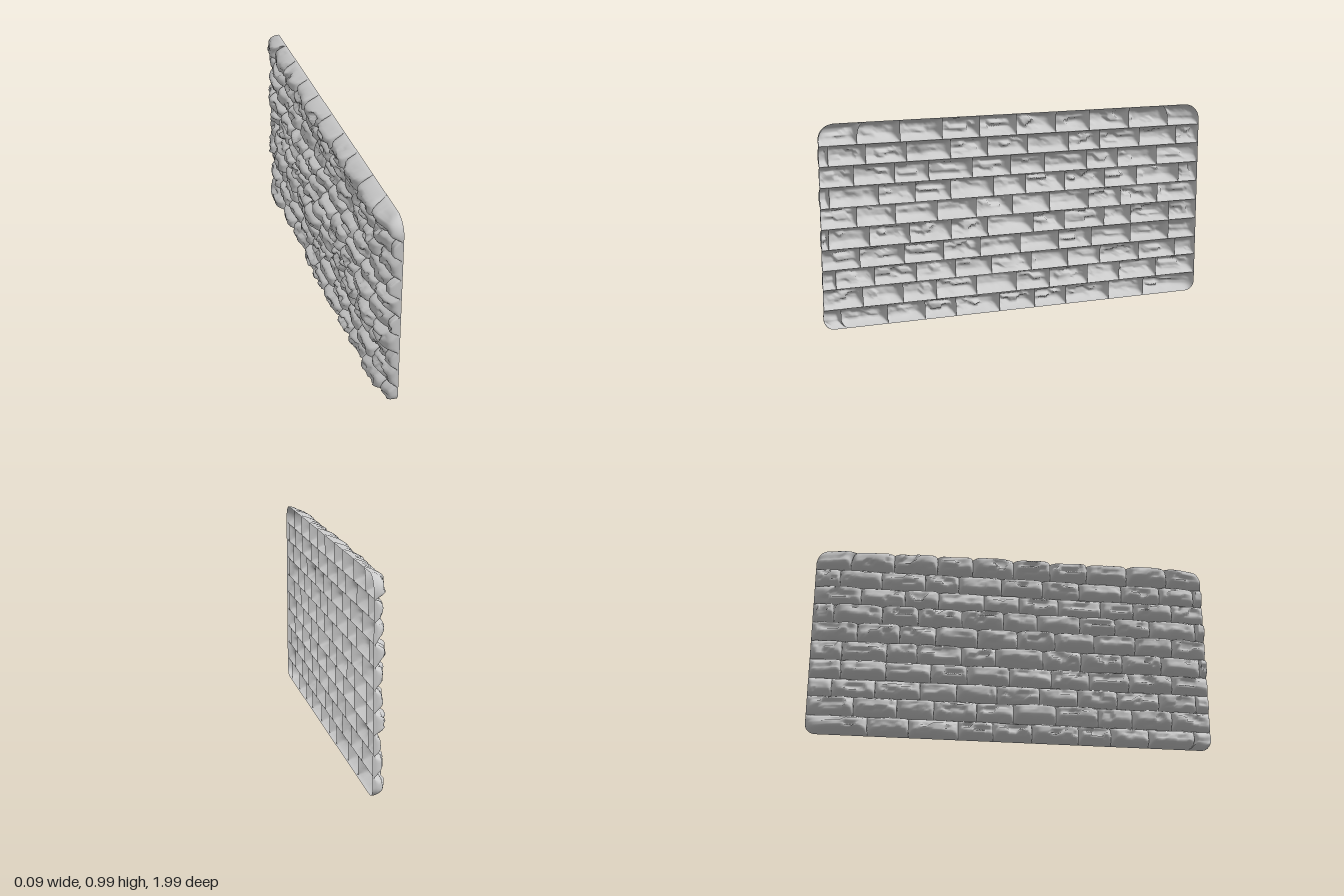
import * as THREE from 'three';

const RIM = 0.047, JOINT = 0.04, TOP = 0.992, END = 0.995;
const TOP_CORNER = 0.08, BOTTOM_CORNER = 0.05;

// Courses from bottom to top: lower edge, depth of the bulge, height of its crest
// (-1 low .. 1 high), inner brick joints along z
const COURSES = [
  [0, 0.077, -0.1, [0.91, 0.68, 0.49, 0.33, 0.10, -0.09, -0.26, -0.50, -0.70]],
  [0.095, 0.069, 0.1, [0.80, 0.60, 0.43, 0.22, 0.01, -0.17, -0.38, -0.56, -0.77]],
  [0.195, 0.063, 0.0, [0.93, 0.74, 0.53, 0.33, 0.14, -0.07, -0.27, -0.45, -0.67, -0.88]],
  [0.29, 0.083, -0.1, [0.81, 0.59, 0.39, 0.20, -0.01, -0.22, -0.40, -0.62, -0.84]],
  [0.39, 0.083, 0.0, [0.96, 0.76, 0.56, 0.35, 0.16, -0.08, -0.25, -0.47, -0.62, -0.84]],
  [0.49, 0.083, 0.1, [0.82, 0.63, 0.42, 0.22, 0.03, -0.17, -0.38, -0.56, -0.77]],
  [0.59, 0.080, 0.1, [0.95, 0.71, 0.53, 0.35, 0.13, -0.04, -0.25, -0.47, -0.65, -0.89]],
  [0.69, 0.070, 0.0, [0.83, 0.63, 0.46, 0.24, 0.04, -0.14, -0.37, -0.54, -0.76]],
  [0.79, 0.068, 0.0, [0.95, 0.77, 0.57, 0.35, 0.16, -0.05, -0.27, -0.44, -0.66, -0.87]],
  [0.887, 0.084, 0.0, [0.81, 0.60, 0.39, 0.20, 0.01, -0.20, -0.38, -0.60, -0.82]],
];

const fract = (t) => t - Math.floor(t);
const hash = (a, b) => fract(Math.sin(a * 127.1 + b * 311.7) * 43758.5453);
const mix = THREE.MathUtils.lerp;
const smooth = THREE.MathUtils.smoothstep;

// Smooth value noise in the range 0..1
function noise(x, y) {
  const i = Math.floor(x), j = Math.floor(y);
  const f = smooth(x - i, 0, 1), g = smooth(y - j, 0, 1);
  return mix(mix(hash(i, j), hash(i + 1, j), f), mix(hash(i, j + 1), hash(i + 1, j + 1), f), g);
}

// Pull the ends in so the outline has rounded corners
function roundCorner(z, y) {
  const r = y > 0.5 ? TOP_CORNER : BOTTOM_CORNER;
  const d = Math.max(0, Math.min(y, TOP - y));
  if (d >= r || Math.abs(z) < 0.65) return z;
  const inset = r - Math.sqrt(r ** 2 - (r - d) ** 2);
  return z - Math.sign(z) * inset * (Math.abs(z) - 0.65) / (END - 0.65);
}

// One rough, hollow stone face: a flat-nosed dome bulging toward -x
function brickGeometry(z0, z1, y0, y1, depth, crest, seed, ends) {
  const geo = new THREE.PlaneGeometry(2, 2, 30, 18);
  const p = geo.attributes.position;
  const bulge = depth * mix(0.72, 1.0, hash(seed, 3));
  const tilt = (hash(seed, 7) - 0.5) * 0.25, lean = (hash(seed, 9) - 0.5) * 0.35;
  const chipped = hash(seed, 5) > 0.3 ? 0.3 : 0.1;
  for (let i = 0; i < p.count; i++) {
    // crowd samples toward the steep edges
    const u = Math.sin(p.getX(i) * Math.PI / 2), v = Math.sin(p.getY(i) * Math.PI / 2);
    let y = mix(y0, y1, (v + 1) / 2);
    let z = mix(z0, z1, (u + 1) / 2);

    // steep sides at the joints, sloping upper and lower flanks, tapering wall ends
    const along = Math.sqrt(Math.max(0, 1 - Math.abs(u) ** 7));
    const w = v - crest * (1 - v * v);
    const across = Math.min(1, 1.12 * Math.max(0, 1 - Math.abs(w) ** 2.4) ** 0.85);
    const taper = mix(0.62, 1, smooth(END - Math.abs(z), 0, 0.16));

    // broad lumps, shallow grain and sharp horizontal chips in the middle of the face
    const lumps = noise(z * 13 + seed, y * 20) - 0.5;
    const grain = noise(z * 55, y * 90 + seed) - 0.5;
    const chip = noise(z * 19 + seed * 3, y * 55 + seed);
    const middle = (1 - u * u) * (1 - v * v);
    const ledge = chip > 0.6 ? -chipped * middle : 0.04;
    const rough = 1 + 0.28 * lumps + 0.07 * grain + ledge + tilt * u + lean * v;
    const height = Math.min(bulge * rough, depth * 1.02) * along * across * taper;

    // the perimeter rim is flat, inner joints lie slightly deeper
    const onRim = (ends.low && u < -0.999) || (ends.high && u > 0.999)
      || (ends.bottom && v < -0.999) || (ends.top && v > 0.999);
    z = roundCorner(z, y);
    y -= 0.008 * along * across * lumps;
    p.setXYZ(i, (onRim ? RIM : JOINT) - height, y, z);
  }
  geo.computeVertexNormals();
  return geo;
}

export function createModel() {
  const group = new THREE.Group();
  group.name = 'stoneWallPanel';
  const stone = new THREE.MeshStandardMaterial({ color: 0xcccccc, side: THREE.DoubleSide });

  COURSES.forEach(([y0, depth, crest, inner], row) => {
    const course = new THREE.Group();
    course.name = 'brickCourse' + (row + 1);
    const joints = [END, ...inner, -END];
    const last = row === COURSES.length - 1;
    const y1 = last ? TOP : COURSES[row + 1][0];
    for (let k = 0; k < joints.length - 1; k++) {
      const ends = { high: k === 0, low: k === joints.length - 2, bottom: row === 0, top: last };
      const seed = row * 17 + k * 5 + 1;
      const geo = brickGeometry(joints[k + 1], joints[k], y0, y1, depth, crest, seed, ends);
      const brick = new THREE.Mesh(geo, stone);
      brick.name = 'brick' + (k + 1);
      course.add(brick);
    }
    group.add(course);
  });
  return group;
}
